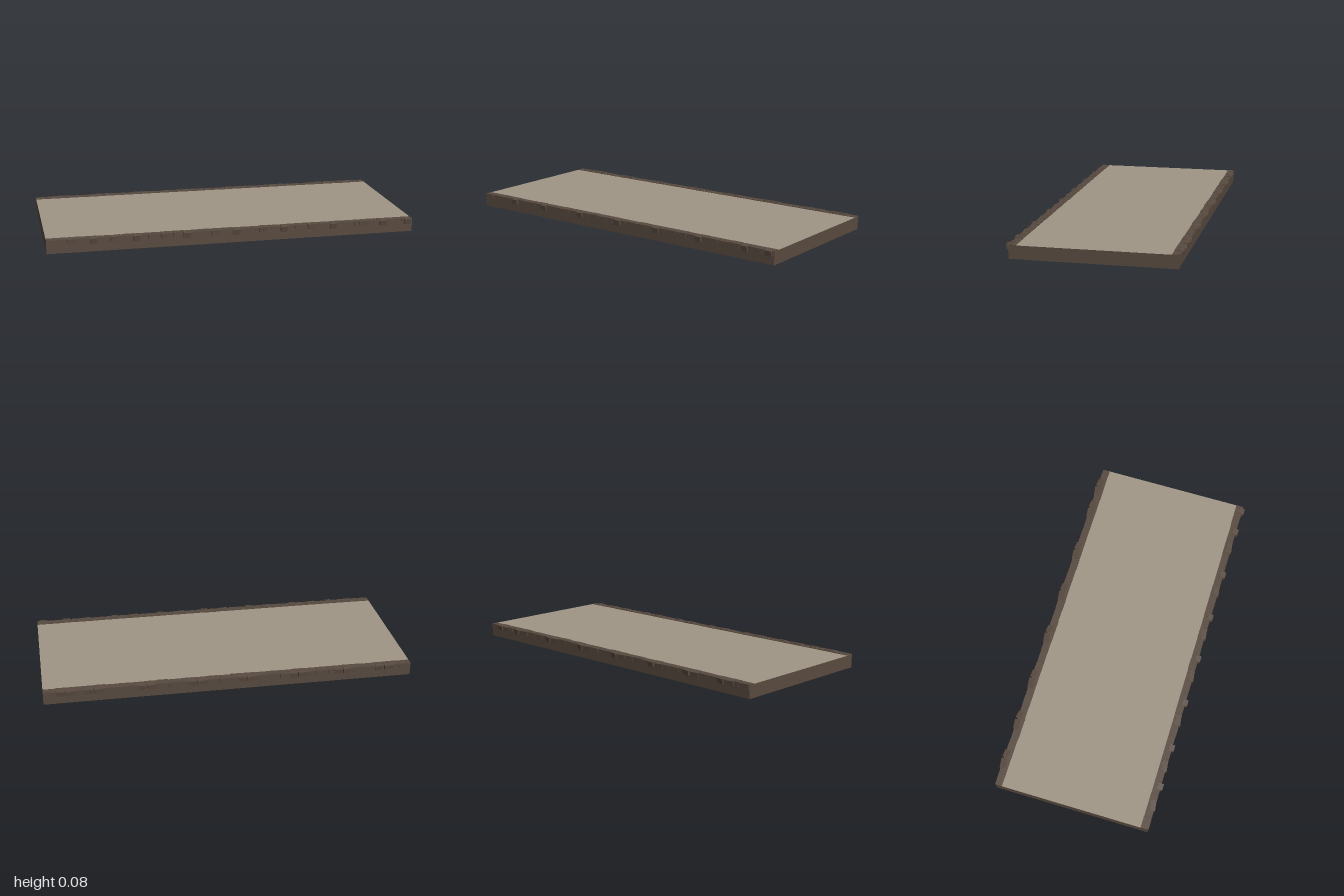
import * as THREE from 'three';

export function createModel() {
  const group = new THREE.Group();
  const paving = new THREE.MeshStandardMaterial({ name: 'paving', color: 0xa09585 });
  const stone = new THREE.MeshStandardMaterial({ name: 'stone', color: 0x584a3f });

  const addBox = (name, size, pos, mat, rot = [0, 0, 0]) => {
    const mesh = new THREE.Mesh(new THREE.BoxGeometry(...size), mat);
    mesh.name = name;
    mesh.position.set(...pos);
    mesh.rotation.set(...rot);
    group.add(mesh);
  };

  // Slab with stone sides and a paved top and underside
  addBox('slab', [2, 0.071, 0.855], [0, 0.0355, 0.0015],
    [stone, stone, paving, paving, stone, stone]);

  let seed = 7;
  const rand = () => (seed = (seed * 16807) % 2147483647) / 2147483647;

  // Flush kerb stones along each long edge
  const count = 30;
  const pitch = 2 / count;
  for (const side of [1, -1]) {
    for (let i = 0; i < count; i++) {
      const x = -1 + (i + 0.5) * pitch;
      const inner = 0.39 + rand() * 0.005;
      const outer = 0.431 + rand() * 0.003;
      const top = 0.0725 + rand() * 0.002;
      addBox('kerbStone', [pitch - 0.004, top - 0.05, outer - inner],
        [x, (top + 0.05) / 2, side * (inner + outer) / 2], stone);
    }
    // Continuous bed closing the joints between stones
    addBox('kerbBed', [2, 0.022, 0.037], [0, 0.061, side * 0.411], stone);
  }

  // Loose front stones: a tipped block beside a slightly turned one
  for (const x of [-0.755, -0.53, -0.26, 0.01, 0.27, 0.545, 0.83, 0.97]) {
    addBox('tippedStone', [0.036, 0.029, 0.03], [x, 0.061, 0.428], stone, [0.15, 0, 0]);
    if (x < 0.9) {
      addBox('turnedStone', [0.06, 0.025, 0.03], [x - 0.11, 0.063, 0.42], stone, [0.08, 0.13, 0]);
    }
  }

  // Loose back stones: pairs turned towards each other in shallow peaks
  for (const x of [-0.85, -0.62, -0.37, -0.09, 0.18, 0.45, 0.73, 0.88]) {
    addBox('turnedStone', [0.055, 0.026, 0.03], [x - 0.025, 0.062, -0.425], stone, [-0.12, 0.13, 0]);
    addBox('tippedStone', [0.04, 0.026, 0.03], [x + 0.03, 0.062, -0.425], stone, [-0.12, -0.1, 0]);
  }

  return group;
}
